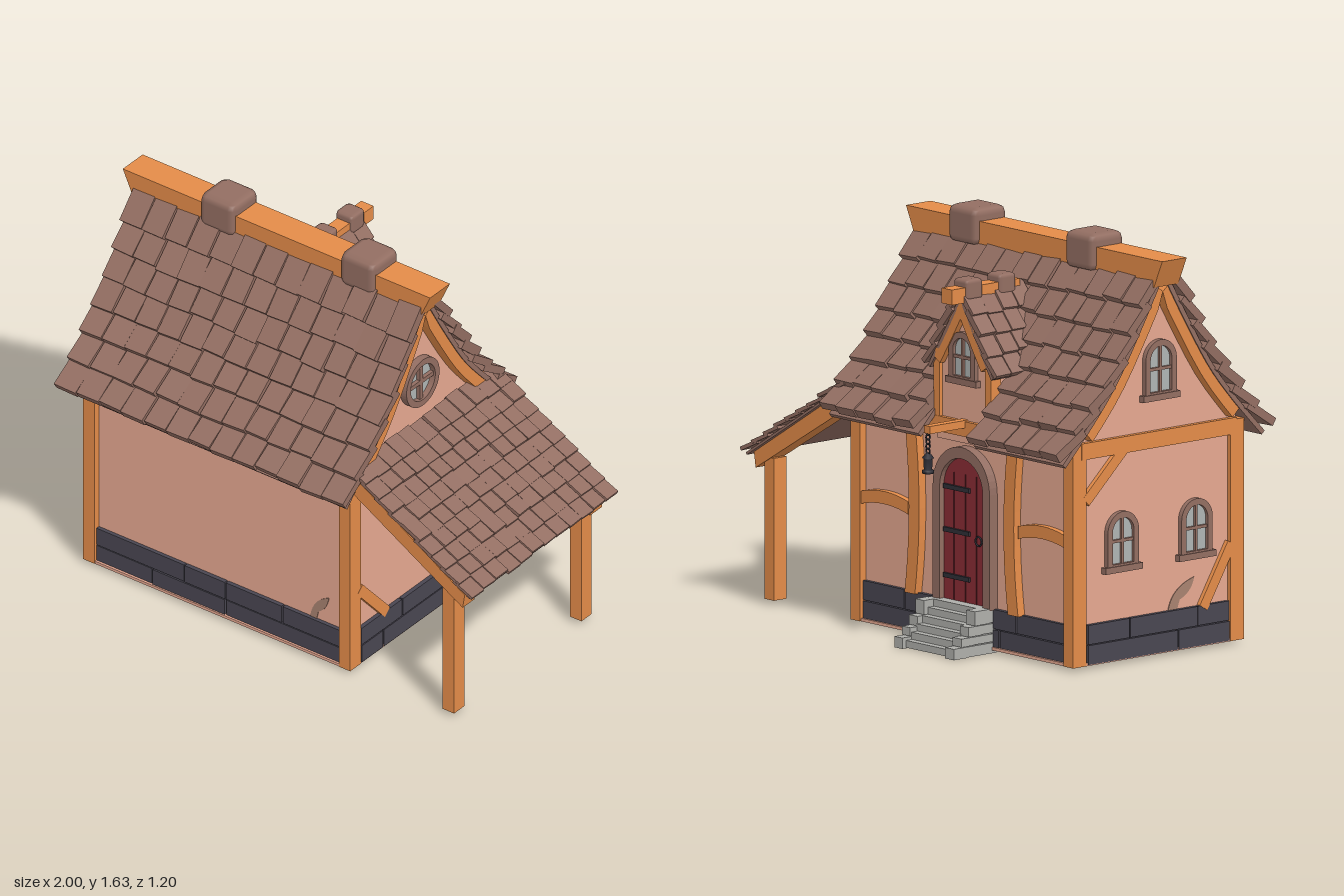
import * as THREE from 'three';
import { mergeGeometries } from 'three/addons/utils/BufferGeometryUtils.js';
import { RoundedBoxGeometry } from 'three/addons/geometries/RoundedBoxGeometry.js';

const paint = (name, color) => Object.assign(new THREE.MeshStandardMaterial({ color }), { name });
const PI = Math.PI, CX = -0.255, CZ = 0.035;

let seed = 7;
const rnd = () => ((seed = (seed * 16807) % 2147483647) / 2147483647) - 0.5;

function group(parent, name, x = 0, y = 0, z = 0, ry = 0) {
  const g = new THREE.Group();
  g.name = name;
  g.position.set(x, y, z);
  g.rotation.y = ry;
  parent.add(g);
  return g;
}
function add(parent, name, geo, mat, x = 0, y = 0, z = 0, rz = 0) {
  const m = new THREE.Mesh(geo, mat);
  m.name = name;
  m.position.set(x, y, z);
  m.rotation.z = rz;
  parent.add(m);
  return m;
}
const box = (w, h, d) => new THREE.BoxGeometry(w, h, d);
const curve = pts => new THREE.SplineCurve(pts.map(p => new THREE.Vector2(...p)));
const outline = pts => new THREE.Shape(pts.map(p => new THREE.Vector2(...p)));
const extrude = (shape, depth) => new THREE.ExtrudeGeometry(shape, { depth, bevelEnabled: false, curveSegments: 10 });
// profile in (z, y), extruded along x and centred there
const profile = (shape, width) => extrude(shape, width).translate(0, 0, -width / 2).rotateY(-PI / 2);

// strip hanging below a roof curve
function band(path, thick, u0 = 0, u1 = 1) {
  const top = [], low = [];
  for (let i = 0; i <= 8; i++) {
    const u = u0 + (u1 - u0) * i / 8, p = path.getPointAt(u), t = path.getTangentAt(u);
    top.push([p.x, p.y]);
    low.unshift([Math.max(0, p.x + t.y * thick), p.y - t.x * thick]);
  }
  return outline([...top, ...low]);
}

// overlapping tiles following a roof curve; x runs across, z runs down the slope
function tiles(path, rows, cols, width, thick, lift, skip = () => false) {
  const out = [], pitch = width / cols, len = path.getLength() / rows * 1.3;
  for (let r = 0; r < rows; r++) for (let c = 0; c < cols; c++) {
    const u = (r + 0.5) / rows, p = path.getPointAt(u), t = path.getTangentAt(u);
    const x = (c + 0.5) * pitch - width / 2;
    if (skip(x, p.y)) continue;
    const h = thick * (1 + 0.3 * rnd());
    out.push(box(pitch * (0.96 + 0.05 * rnd()), h, len * (1 + 0.15 * rnd()))
      .translate(0, h / 2, 0).rotateZ(0.08 * rnd()).rotateY(0.07 * rnd())
      .rotateX(Math.atan2(-t.y, t.x) - lift)
      .translate(x, p.y + Math.sin(lift) * len / 2 + 0.01 * rnd(), p.x));
  }
  return mergeGeometries(out);
}

function arch(w, h, Kind = THREE.Shape) {
  const s = new Kind();
  s.moveTo(-w / 2, 0).lineTo(w / 2, 0).lineTo(w / 2, h - w / 2);
  s.absarc(0, h - w / 2, w / 2, 0, PI, false);
  s.closePath();
  return s;
}
// timber with a slight bow, standing on y = 0
function bentTimber(len, w, bow, depth = 0.035) {
  const s = new THREE.Shape();
  s.moveTo(w / 2, 0).quadraticCurveTo(w / 2 + bow, len / 2, w / 2, len).lineTo(-w / 2, len)
    .quadraticCurveTo(-w / 2 + bow, len / 2, -w / 2, 0);
  return extrude(s, depth);
}

export function createModel() {
  const plaster = paint('plaster', 0xe6a891), wood = paint('wood', 0xe48c49), tile = paint('tile', 0x936e62),
    slate = paint('slate', 0x494651), stone = paint('stone', 0xafafab), red = paint('doorRed', 0x8a2d35),
    darkRed = paint('grooveRed', 0x5a1c22), glass = paint('glass', 0xafb5b4), iron = paint('iron', 0x2f2f37),
    stain = paint('stain', 0xa88270);
  const root = new THREE.Group();
  root.name = 'cottage';

  // body with gable ends
  const half = [[0.41, 0.02], [0.41, 0.905], [0.25, 1.09], [0.13, 1.27], [0.02, 1.44]];
  const body = outline([...half, ...half.map(([a, b]) => [-a, b]).reverse()]);
  add(root, 'walls', profile(body, 1.26), plaster, CX, 0, CZ);
  add(root, 'floor', box(1.29, 0.012, 0.87), plaster, CX, 0.02, CZ);
  for (const x of [-0.875, 0.365]) for (const z of [0.4375, -0.3725])
    add(root, 'cornerPost', box(0.055, 0.87, 0.07), wood, x, 0.45, z);

  // foundation courses: cut positions along each wall
  const sides = [
    ['front', 0, 0.595, 0.41, [-0.32, 0.035], [-0.165, 0.035, 0.31]],
    ['right', PI / 2, 0.367, 0.63, [-0.225], [-0.105]],
    ['back', PI, 0.595, 0.41, [-0.25, 0.2], [-0.35, -0.05, 0.3]],
    ['left', -PI / 2, 0.367, 0.63, [0.1], [-0.15, 0.2]]];
  const wall = {};
  for (const [name, ry, hl, dist, ...courses] of sides) {
    const origin = group(root, name + 'Side', CX, 0, CZ, ry);
    wall[name] = group(origin, name + 'Details', 0, 0, dist);
    courses.forEach((cuts, row) => {
      const e = [-hl, ...cuts, hl];
      for (let i = 1; i < e.length; i++)
        add(wall[name], 'foundationStone', box(e[i] - e[i - 1] - 0.006, 0.076, 0.05), slate,
          (e[i] + e[i - 1]) / 2, 0.056 + row * 0.08, -0.008 + 0.004 * rnd());
    });
  }

  // main roof
  const slope = curve([[0.04, 1.475], [0.13, 1.32], [0.25, 1.13], [0.37, 0.985], [0.52, 0.828]]);
  [0, PI].forEach((ry, back) => {
    const g = group(root, back ? 'backRoof' : 'frontRoof', -0.25, 0, CZ, ry);
    add(g, 'roofTiles', tiles(slope, 7, 13, 1.4, 0.036, 0.22, (x, y) => back && Math.abs(x) < 0.16 && y < 1.22), tile);
    add(g, 'upperDeck', profile(band(slope, 0.02, 0, 0.48), 1.36), tile);
    for (const s of [-1, 1]) {
      add(g, 'lowerDeck', profile(band(slope, 0.02, 0.48, 1), back ? 0.52 : 0.68), tile, s * (back ? 0.42 : 0.34));
      add(g, 'gableTrim', profile(band(slope, 0.065, 0, 0.8), 0.06), wood, s * 0.645);
    }
  });
  add(root, 'ridgeBeam', extrude(outline([[-0.95, 1.47], [0.44, 1.47], [0.49, 1.58], [-1, 1.58]]), 0.126), wood, 0, 0, -0.034);
  for (const x of [-0.535, 0.145])
    add(root, 'ridgeCap', new RoundedBoxGeometry(0.17, 0.15, 0.168, 1, 0.03), tile, x, 1.555, 0.027);

  // dormer over the door
  const dormer = group(root, 'dormer', -0.25, 0, 0);
  const dSlope = curve([[0.005, 1.38], [0.1, 1.225], [0.19, 1.085]]);
  add(dormer, 'dormerWall', extrude(outline([[-0.16, 0.8], [0.16, 0.8], [0.16, 1.11], [0, 1.34], [-0.16, 1.11]]), 0.385), plaster, 0, 0, -0.385);
  for (const s of [-1, 1]) {
    const g = group(dormer, 'dormerSlope', 0, 0, -0.26, s * PI / 2);
    add(g, 'dormerTiles', tiles(dSlope, 4, 4, 0.32, 0.024, 0.16), tile);
    add(g, 'dormerDeck', profile(band(dSlope, 0.015), 0.3), tile);
    add(g, 'dormerTrim', profile(band(dSlope, 0.05, 0, 0.85), 0.03), wood, s * 0.135);
    add(dormer, 'dormerPost', box(0.035, 0.3, 0.05), wood, s * 0.15, 1.0, -0.375);
  }
  add(dormer, 'dormerRidge', box(0.06, 0.06, 0.35), wood, 0, 1.39, -0.305);
  for (const z of [-0.2, -0.37])
    add(dormer, 'dormerCap', new RoundedBoxGeometry(0.085, 0.085, 0.085, 1, 0.016), tile, 0, 1.408, z);

  // arched windows
  function archWindow(parent, x, y, z, w, h) {
    const g = group(parent, 'archedWindow', x, y, z);
    const frame = arch(w, h), hole = arch(w - 0.05, h - 0.05, THREE.Path);
    frame.holes.push(new THREE.Path(hole.getPoints(10).map(p => p.add(new THREE.Vector2(0, 0.025)))));
    add(g, 'windowFrame', extrude(frame, 0.02), tile);
    add(g, 'windowGlass', extrude(arch(w - 0.04, h - 0.04), 0.006), glass, 0, 0.02, 0);
    add(g, 'windowBar', box(0.012, h - 0.04, 0.016), tile, 0, h / 2, 0.008);
    add(g, 'windowBar', box(w - 0.03, 0.012, 0.016), tile, 0, h * 0.5, 0.008);
    add(g, 'windowSill', box(w + 0.03, 0.025, 0.03), tile, 0, 0.005, 0.01);
  }
  archWindow(wall.back, -0.005, 1.04, 0.01, 0.15, 0.2);
  archWindow(wall.left, -0.185, 0.37, 0, 0.16, 0.23);
  archWindow(wall.left, 0.195, 0.37, 0, 0.16, 0.23);
  archWindow(wall.left, 0.01, 1.02, 0, 0.16, 0.23);

  // round gable window
  const round = group(wall.right, 'roundWindow', 0.01, 1.12, 0);
  const ring = new THREE.Shape().absarc(0, 0, 0.105, 0, PI * 2);
  ring.holes.push(new THREE.Path().absarc(0, 0, 0.078, 0, PI * 2, true));
  add(round, 'roundFrame', new THREE.ExtrudeGeometry(ring, { depth: 0.03, bevelEnabled: false, curveSegments: 24 }), tile);
  add(round, 'roundGlass', new THREE.CircleGeometry(0.085, 24), glass, 0, 0, 0.006);
  add(round, 'roundBar', box(0.018, 0.16, 0.02), tile, 0, 0, 0.012);
  add(round, 'roundBar', box(0.16, 0.018, 0.02), tile, 0, 0, 0.012);

  // wall timbers
  const brace = (g, x0, y0, x1, y1) => add(g, 'brace', box(0.045, Math.hypot(x1 - x0, y1 - y0), 0.03), wood,
    (x0 + x1) / 2, (y0 + y1) / 2, 0.003, Math.atan2(x0 - x1, y1 - y0));
  for (const s of [-1, 1]) brace(wall.right, s * 0.2, 0.165, s * 0.375, 0.36);
  brace(wall.left, 0.23, 0.165, 0.375, 0.4);
  brace(wall.left, -0.375, 0.66, -0.16, 0.86);
  for (const n of ['left', 'right']) add(wall[n], 'gableBeam', box(0.8, 0.065, 0.04), wood, 0, 0.86, 0);
  add(wall.back, 'lintelBeam', box(1.22, 0.06, 0.045), wood, 0, 0.86, 0.005);
  for (const s of [-1, 1]) {
    add(wall.back, 'doorPost', bentTimber(0.68, 0.06, -s * 0.05), wood, s * 0.3, 0.17, 0);
    add(wall.back, 'sideTimber', bentTimber(0.28, 0.05, 0.04, 0.025), wood, s * 0.46 + 0.14, 0.5, 0, PI / 2);
  }
  // weather stains
  const blot = new THREE.Shape();
  blot.moveTo(0, 0).quadraticCurveTo(0.01, 0.09, 0.09, 0.12).quadraticCurveTo(0.08, 0.06, 0.04, 0.04).lineTo(0.03, 0);
  add(wall.front, 'wallStain', extrude(blot, 0.003), stain, 0.435, 0.17, 0);
  add(wall.left, 'wallStain', extrude(blot, 0.003), stain, 0.06, 0.17, 0).scale.x = 1.5;

  // arched door
  const door = group(wall.back, 'door', 0.005, 0.17, 0);
  const surround = arch(0.33, 0.62);
  surround.holes.push(arch(0.25, 0.575, THREE.Path));
  add(door, 'doorFrame', extrude(surround, 0.04), tile);
  add(door, 'doorPanel', extrude(arch(0.26, 0.58), 0.018), red);
  for (const x of [-0.065, 0, 0.065]) add(door, 'plankGroove', box(0.006, 0.5, 0.004), darkRed, x, 0.26, 0.019);
  for (const y of [0.1, 0.28, 0.45]) add(door, 'hingeStrap', box(0.15, 0.018, 0.012), iron, -0.045, y, 0.022);
  add(door, 'doorHandle', new THREE.TorusGeometry(0.018, 0.004, 6, 12), iron, 0.085, 0.26, 0.026);

  // stone steps: slabs between stacked side stones
  const steps = group(root, 'steps', -0.25, 0, -0.375);
  for (let i = 0; i < 6; i++)
    add(steps, 'tread', box(0.26, 0.028, 0.065), stone, 0, 0.018 + i * 0.029, -0.172 + i * 0.028);
  for (const s of [-1, 1]) [[0.045, 0.225], [0.08, 0.185], [0.12, 0.148], [0.178, 0.115]].forEach(([h, d], i, a) => {
    const y0 = i ? a[i - 1][0] : 0, front = 0.07 + 0.02 * rnd();
    const w = 0.05 + 0.008 * rnd();
    add(steps, 'sideStone', box(w, h - y0 - 0.002, front - 0.003), stone, s * 0.148, (h + y0) / 2, front / 2 - d);
    add(steps, 'sideStone', box(w - 0.006, h - y0 - 0.004, d - front), stone, s * 0.148, (h + y0) / 2, (front - d) / 2);
  });

  // hanging lantern
  const lamp = group(root, 'lantern', -0.25, 0, -0.577);
  add(lamp, 'lanternArm', box(0.035, 0.03, 0.23), wood, 0, 0.88, 0.11);
  for (let i = 0; i < 5; i++)
    add(lamp, 'chainLink', new THREE.TorusGeometry(0.011, 0.0035, 5, 8), iron, 0, 0.868 - i * 0.018, 0).rotation.y = i % 2 * PI / 2;
  const lantern = [[0, 0.708], [0.024, 0.708], [0.024, 0.72], [0.016, 0.723], [0.018, 0.765], [0.024, 0.768], [0.011, 0.785], [0, 0.79]];
  add(lamp, 'lanternBody', new THREE.LatheGeometry(lantern.map(p => new THREE.Vector2(...p)), 8), iron);

  // lean-to porch
  const porch = group(root, 'porch');
  const pSlope = curve([[0.4, 0.94], [0.7, 0.755], [0.975, 0.587]]);
  const pRoof = group(porch, 'porchRoof', 0, 0, 0.02, PI / 2);
  add(pRoof, 'porchTiles', tiles(pSlope, 9, 12, 0.93, 0.014, 0.12), tile);
  add(pRoof, 'porchDeck', profile(band(pSlope, 0.01), 0.9), tile);
  for (const z of [0.4375, -0.3725]) {
    add(porch, 'porchPost', box(0.055, 0.56, 0.065), wood, 0.867, 0.3, z);
    add(porch, 'rafter', extrude(outline([[0.38, 0.86], [0.94, 0.53], [0.95, 0.592], [0.38, 0.945]]), 0.075), wood, 0, 0, z - 0.0375);
  }
  return root;
}
